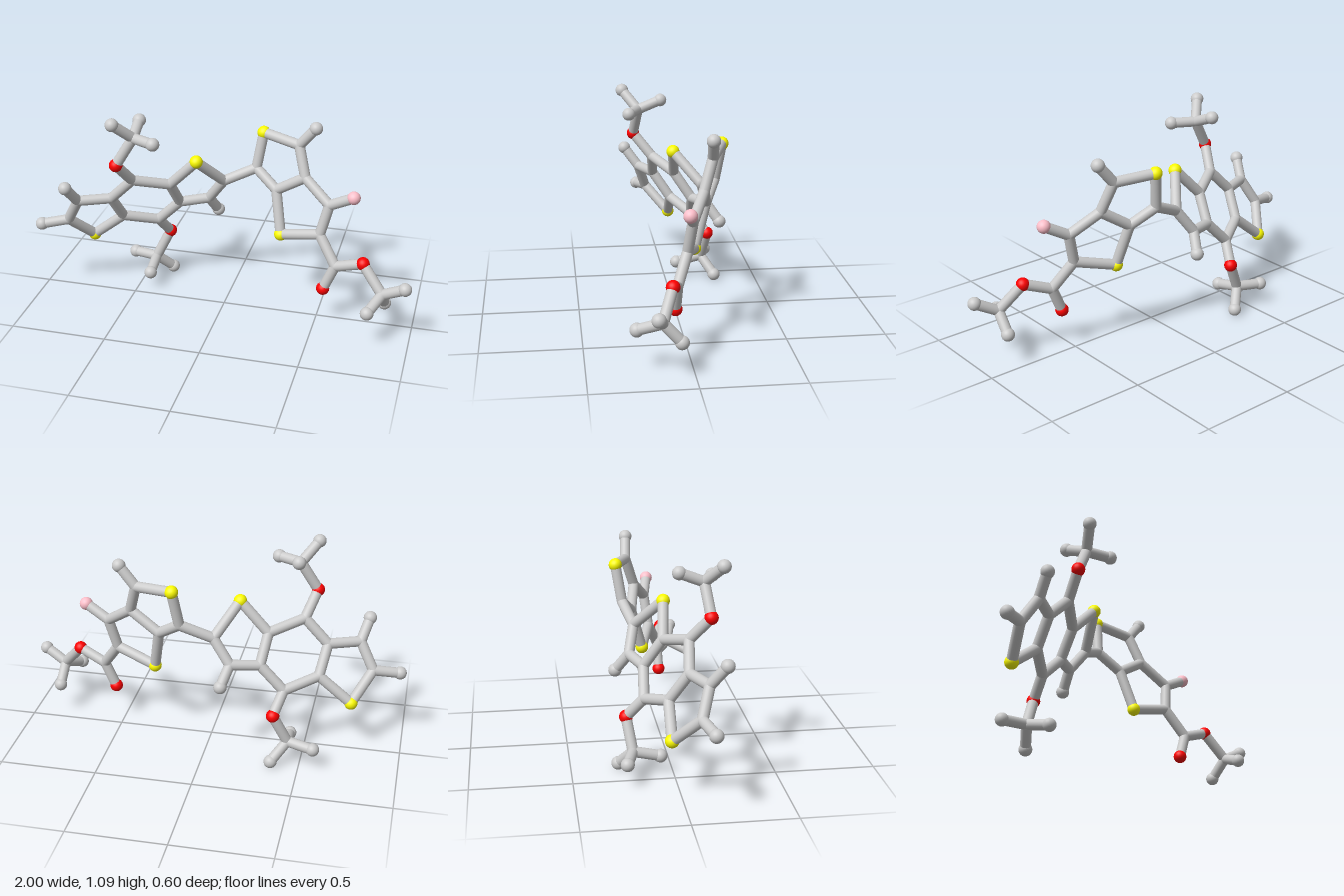
import * as THREE from 'three';

const ATOM_RADIUS = 0.034, BOND_RADIUS = 0.027;
const COLORS = { carbon: 0xcccccc, hydrogen: 0xcccccc, sulfur: 0xffff00, oxygen: 0xff0000, fluorine: 0xffc0cb };

// Atom centres, grouped by element
const ATOMS = {
  carbon: {
    // outer ring, six-sided ring and inner ring of the left half
    a: [-0.83, 0.435, 0.074], b: [-0.755, 0.572, 0.119], c: [-0.565, 0.435, -0.043], d: [-0.595, 0.575, 0.051],
    e: [-0.4, 0.385, -0.14], f: [-0.275, 0.51, -0.128], g: [-0.3, 0.65, -0.035], h: [-0.47, 0.7, 0.067],
    i: [-0.04, 0.65, -0.15], j: [-0.13, 0.525, -0.184],
    // two fused rings of the right half
    k: [0.125, 0.725, -0.19], l: [0.355, 0.895, -0.148], m: [0.4, 0.74, -0.099],
    n: [0.245, 0.64, -0.13], o: [0.5, 0.475, -0.008], p: [0.54, 0.635, -0.028],
    // ester carbon and the three methyl carbons
    q: [0.595, 0.335, 0.052], m1: [-0.43, 0.97, 0.145], m2: [-0.435, 0.125, -0.2], m3: [0.85, 0.26, 0.148],
  },
  sulfur: {
    s1: [-0.735, 0.3, -0.05], s2: [-0.15, 0.803, -0.013], s3: [0.155, 0.915, -0.22], s4: [0.285, 0.418, -0.069],
  },
  oxygen: {
    o1: [-0.52, 0.82, 0.165], o2: [-0.36, 0.28, -0.225], o3: [0.537, 0.2, 0.055], o4: [0.74, 0.39, 0.09],
  },
  fluorine: { f1: [0.665, 0.703, 0] },
  hydrogen: {
    h1: [-0.966, 0.412, 0.115], h2: [-0.79, 0.673, 0.195], h3: [-0.095, 0.43, -0.252], h4: [0.44, 0.997, -0.138],
    h5: [-0.51, 1.062, 0.224], h6: [-0.435, 1.018, 0.024], h7: [-0.31, 0.971, 0.203],
    h8: [-0.57, 0.116, -0.24], h9: [-0.43, 0.093, -0.063], h10: [-0.36, 0.035, -0.266],
    h11: [0.965, 0.322, 0.178], h12: [0.793, 0.21, 0.263], h13: [0.857, 0.165, 0.061],
  },
};

// Chains of bonded atoms
const CHAINS = [
  'h1 a b d c s1 a', 'b h2', 'd h g f e c', 'g s2 i j f', 'j h3',
  'h o1 m1 h5', 'h6 m1 h7', 'e o2 m2 h8', 'h9 m2 h10',
  'i k s3 l m n k', 'l h4', 'n s4 o p m', 'p f1',
  'o q o3', 'q o4 m3 h11', 'h12 m3 h13',
];

export function createModel() {
  const model = new THREE.Group();
  model.name = 'molecule';
  const atoms = new THREE.Group(), bonds = new THREE.Group();
  atoms.name = 'atoms';
  bonds.name = 'bonds';
  model.add(atoms, bonds);

  // Atoms: carbons only round off the joints between bonds
  const centres = {};
  const ball = new THREE.SphereGeometry(ATOM_RADIUS, 24, 16);
  const joint = new THREE.SphereGeometry(BOND_RADIUS, 24, 16);
  for (const [element, list] of Object.entries(ATOMS)) {
    const material = new THREE.MeshStandardMaterial({ color: COLORS[element] });
    for (const [key, xyz] of Object.entries(list)) {
      centres[key] = new THREE.Vector3(...xyz);
      const mesh = new THREE.Mesh(element === 'carbon' ? joint : ball, material);
      mesh.name = element + 'Atom';
      mesh.position.copy(centres[key]);
      atoms.add(mesh);
    }
  }

  // Bonds: a rod between each pair of neighbours in a chain
  const grey = new THREE.MeshStandardMaterial({ color: 0xcccccc });
  const up = new THREE.Vector3(0, 1, 0);
  for (const chain of CHAINS) {
    const keys = chain.split(' ');
    for (let n = 1; n < keys.length; n++) {
      const from = centres[keys[n - 1]], to = centres[keys[n]];
      const along = to.clone().sub(from);
      const rod = new THREE.Mesh(
        new THREE.CylinderGeometry(BOND_RADIUS, BOND_RADIUS, along.length(), 20, 1, true), grey);
      rod.name = 'bond';
      rod.position.copy(from).add(to).multiplyScalar(0.5);
      rod.quaternion.setFromUnitVectors(up, along.normalize());
      bonds.add(rod);
    }
  }
  return model;
}
